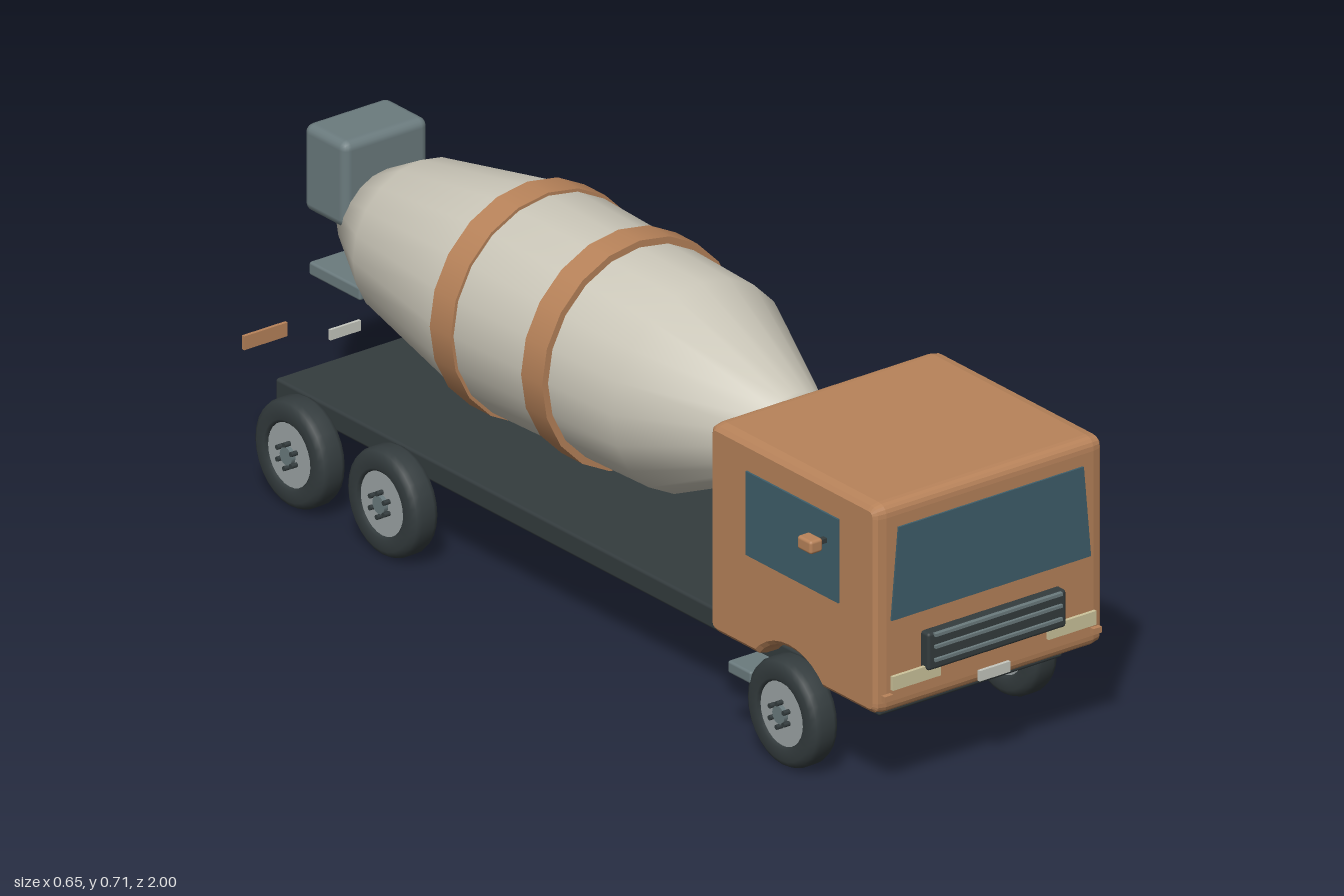
import * as THREE from 'three';
import { RoundedBoxGeometry } from 'three/addons/geometries/RoundedBoxGeometry.js';

export function createModel() {
  const truck = new THREE.Group();
  truck.name = 'mixerTruck';
  const mat = (name, color, side = THREE.FrontSide) => {
    const m = new THREE.MeshStandardMaterial({ color, side });
    m.name = name;
    return m;
  };
  const paint = mat('copper paint', 0xb8835a);
  const dark = mat('dark rubber', 0x343c3e);
  const slate = mat('slate metal', 0x6b7b7e);
  const cream = mat('drum cream', 0xcbc7b9);
  const glass = mat('blue glass', 0x3f5f6b);
  const rimGrey = mat('rim grey', 0x9da5a6);
  const lamp = mat('lamp cream', 0xcdc49c);
  const plateGrey = mat('plate grey', 0xc6c8bf);

  const add = (name, geo, material, x = 0, y = 0, z = 0, parent = truck) => {
    const mesh = new THREE.Mesh(geo, material);
    mesh.name = name;
    mesh.position.set(x, y, z);
    parent.add(mesh);
    return mesh;
  };
  // Box given by its limits, with optional rounded edges
  const box = (name, material, [x0, x1], [y0, y1], [z0, z1], r = 0) => {
    const s = [x1 - x0, y1 - y0, z1 - z0];
    const geo = r ? new RoundedBoxGeometry(...s, 2, r) : new THREE.BoxGeometry(...s);
    return add(name, geo, material, (x0 + x1) / 2, (y0 + y1) / 2, (z0 + z1) / 2);
  };
  // The same box on both sides
  const pair = (name, material, [x0, x1], y, z, r) => {
    box('left' + name, material, [x0, x1], y, z, r);
    box('right' + name, material, [-x1, -x0], y, z, r);
  };

  // Chassis
  box('chassis', dark, [-0.217, 0.217], [0.155, 0.2], [-0.89, 0.915], 0.006);
  box('frontCrossBar', slate, [-0.188, 0.188], [0.143, 0.16], [0.68, 0.74], 0.005);
  pair('Step', slate, [0.2, 0.287], [0.135, 0.16], [0.55, 0.62], 0.005);

  // Cab: side profile with wheel arches, extruded across the width
  const z0 = 0.47, z1 = 0.972, y0 = 0.187, y1 = 0.612, r = 0.025;
  const wheelZ = 0.71, wheelY = 0.1075, archR = 0.124;
  const half = Math.asin((y0 - wheelY) / archR);
  const archX = archR * Math.cos(half);
  const side = new THREE.Shape();
  side.moveTo(z0 + r, y0);
  side.lineTo(wheelZ - archX, y0);
  side.absarc(wheelZ, wheelY, archR, Math.PI - half, half, true);
  side.lineTo(z1 - r, y0);
  side.quadraticCurveTo(z1, y0, z1, y0 + r);
  side.lineTo(z1, y1 - r);
  side.quadraticCurveTo(z1, y1, z1 - r, y1);
  side.lineTo(z0 + r, y1);
  side.quadraticCurveTo(z0, y1, z0, y1 - r);
  side.lineTo(z0, y0 + r);
  side.quadraticCurveTo(z0, y0, z0 + r, y0);
  const cabGeo = new THREE.ExtrudeGeometry(side, {
    depth: 0.488, bevelEnabled: true, bevelThickness: 0.024, bevelSize: 0.012,
    bevelOffset: -0.012, bevelSegments: 2, curveSegments: 5,
  });
  cabGeo.translate(0, 0, -0.244);
  cabGeo.rotateY(-Math.PI / 2);
  cabGeo.scale(-1, 1, 1);
  // Mirroring flips the faces, so swap two corners of each triangle
  const p = cabGeo.attributes.position;
  const a = new THREE.Vector3(), b = new THREE.Vector3();
  for (let i = 0; i < p.count; i += 3) {
    a.fromBufferAttribute(p, i + 1);
    b.fromBufferAttribute(p, i + 2);
    p.setXYZ(i + 1, b.x, b.y, b.z);
    p.setXYZ(i + 2, a.x, a.y, a.z);
  }
  // Put the front at +z whichever way the profile was turned
  cabGeo.computeBoundingBox();
  if (cabGeo.boundingBox.max.z < 0) cabGeo.rotateY(Math.PI);
  cabGeo.computeVertexNormals();
  add('cab', cabGeo, paint);

  // Glass
  const screen = new THREE.Shape([[-0.235, 0.377], [0.235, 0.377], [0.218, 0.563], [-0.218, 0.563]]
    .map(([x, y]) => new THREE.Vector2(x, y)));
  add('windscreen', new THREE.ExtrudeGeometry(screen, { depth: 0.006, bevelEnabled: false }), glass, 0, 0, 0.97);
  pair('SideWindow', glass, [0.265, 0.272], [0.383, 0.553], [0.585, 0.862]);

  // Mirrors
  pair('MirrorArm', dark, [0.267, 0.3], [0.495, 0.504], [0.818, 0.83]);
  pair('Mirror', paint, [0.297, 0.327], [0.491, 0.518], [0.808, 0.85], 0.006);

  // Grille, lamps and plates
  box('grille', dark, [-0.163, 0.163], [0.26, 0.336], [0.968, 0.994], 0.006);
  for (const y of [0.332, 0.308, 0.281])
    box('grilleSlat', slate, [-0.15, 0.15], [y - 0.003, y + 0.003], [0.99, 1.0]);
  pair('Headlight', lamp, [0.127, 0.24], [0.24, 0.268], [0.979, 0.986]);
  pair('Indicator', paint, [0.236, 0.256], [0.218, 0.23], [0.972, 0.982]);
  box('frontPlate', plateGrey, [-0.036, 0.036], [0.202, 0.223], [0.98, 0.987]);
  pair('RearLight', paint, [0.138, 0.24], [0.24, 0.268], [-0.96, -0.953]);
  box('rearPlate', plateGrey, [-0.036, 0.036], [0.202, 0.223], [-0.96, -0.954]);

  // Drum and its bands, turned about a lengthwise axis
  const drumY = 0.479;
  const drumPoints = [[0, -0.88], [0.08, -0.88], [0.16, -0.73], [0.225, -0.4], [0.211, 0.11], [0.085, 0.387], [0, 0.387]];
  const drumGeo = new THREE.LatheGeometry(drumPoints.map(([x, y]) => new THREE.Vector2(x, y)), 20);
  drumGeo.rotateX(Math.PI / 2);
  add('drum', drumGeo, cream, 0, drumY, 0);
  for (const z of [-0.107, -0.38]) {
    const band = new THREE.CylinderGeometry(0.23, 0.23, 0.063, 20);
    band.rotateX(Math.PI / 2);
    add('drumBand', band, paint, 0, drumY, z);
  }

  // Hopper and chute
  box('hopper', slate, [-0.1, 0.1], [0.485, 0.662], [-0.957, -0.83], 0.018);
  box('chute', slate, [-0.053, 0.053], [0.325, 0.352], [-0.998, -0.845], 0.005);

  // Wheels
  const tyrePoints = [[0.064, -0.026], [0.07, -0.031], [0.092, -0.031], [0.103, -0.024], [0.1075, -0.014],
    [0.1075, 0.014], [0.103, 0.024], [0.092, 0.031], [0.07, 0.031], [0.064, 0.026], [0.064, -0.026]];
  const tyreGeo = new THREE.LatheGeometry(tyrePoints.map(([x, y]) => new THREE.Vector2(x, y)), 28);
  const rimGeo = new THREE.CylinderGeometry(0.065, 0.065, 0.05, 28);
  const hubGeo = new THREE.CylinderGeometry(0.018, 0.018, 0.062, 16);
  const boltGeo = new THREE.CylinderGeometry(0.005, 0.005, 0.014, 8);
  for (const s of [1, -1]) {
    for (const z of [wheelZ, -0.485, -0.762]) {
      const wheel = new THREE.Group();
      wheel.name = 'wheel';
      wheel.position.set(s * 0.259, wheelY, z);
      wheel.rotation.z = -s * Math.PI / 2;
      add('tyre', tyreGeo, dark, 0, 0, 0, wheel);
      add('rim', rimGeo, rimGrey, 0, 0, 0, wheel);
      add('hub', hubGeo, slate, 0, 0.003, 0, wheel);
      for (let i = 0; i < 6; i++) {
        const t = i * Math.PI / 3;
        add('wheelBolt', boltGeo, dark, 0.024 * Math.cos(t), 0.032, 0.024 * Math.sin(t), wheel);
      }
      truck.add(wheel);
    }
  }
  return truck;
}
